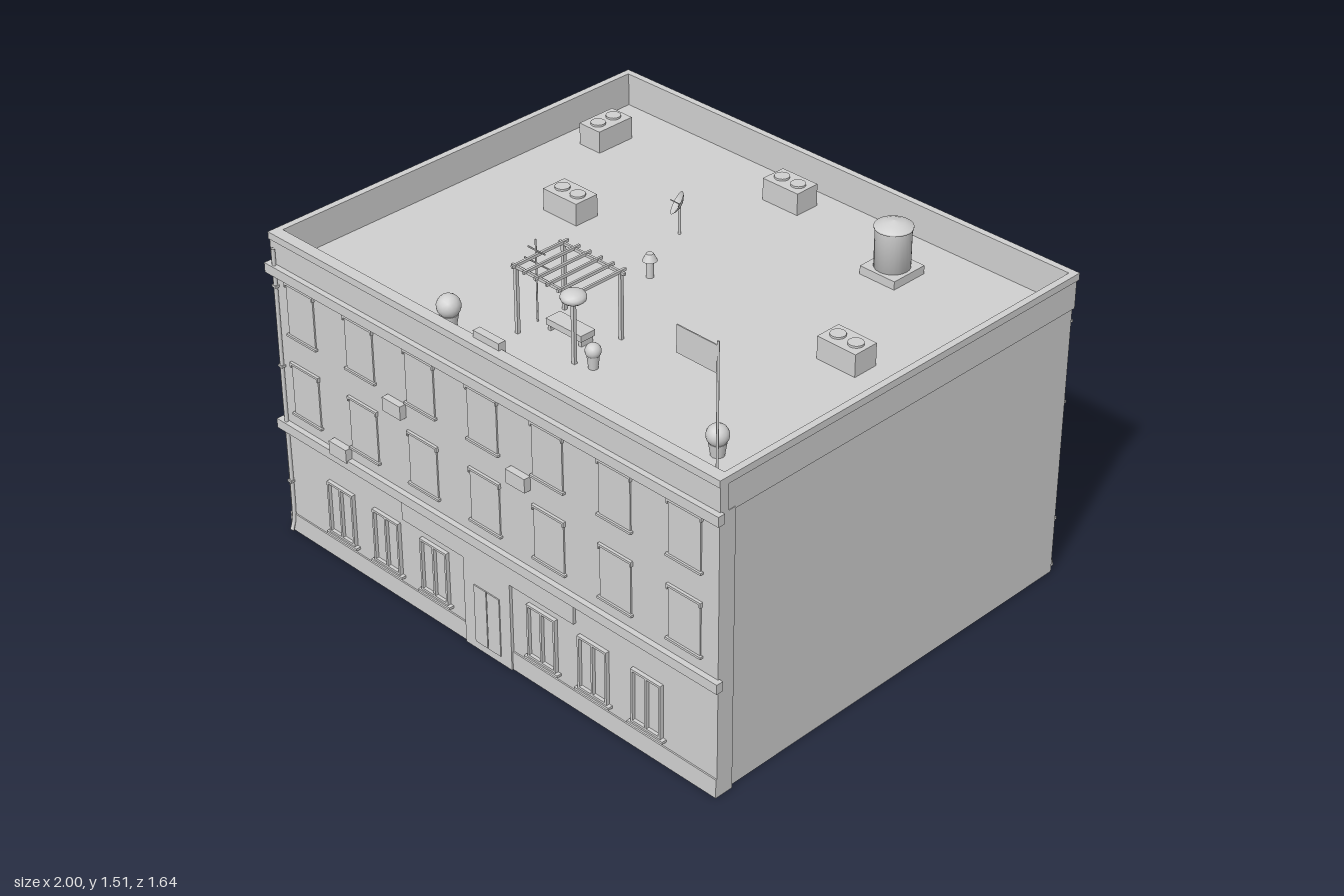
import * as THREE from 'three';

export function createModel() {
  const model = new THREE.Group();
  model.name = 'building';
  const grey = new THREE.MeshStandardMaterial({ color: 0xd0d0d0, side: THREE.DoubleSide });
  grey.name = 'lightGrey';

  const add = (name, geometry, x, y, z, parent = model) => {
    const m = new THREE.Mesh(geometry, grey);
    m.name = name;
    m.position.set(x, y, z);
    parent.add(m);
    return m;
  };
  // Box given by its min and max on each axis
  const box = (name, x0, x1, y0, y1, z0, z1, parent) =>
    add(name, new THREE.BoxGeometry(x1 - x0, y1 - y0, z1 - z0),
      (x0 + x1) / 2, (y0 + y1) / 2, (z0 + z1) / 2, parent);
  // Upright cylinder from y0 to y1
  const post = (name, x, z, y0, y1, r0, r1 = r0, sides = 12, parent = model) =>
    add(name, new THREE.CylinderGeometry(r1, r0, y1 - y0, sides), x, (y0 + y1) / 2, z, parent);

  const ROOF = 1.02, FRONT = 0.8, BACK = -0.79;

  // Main block, with the roof deck as its top, and the wider front wall
  box('body', -0.975, 0.975, 0, ROOF, BACK, 0.74);
  box('frontWall', -0.986, 0.986, 0, ROOF, 0.735, FRONT);

  // Parapet walls and coping
  box('parapetFront', -0.988, 0.988, 1.012, 1.116, 0.766, FRONT);
  box('parapetBack', -0.984, 0.984, 1.012, 1.116, BACK, -0.772);
  box('copingFront', -0.99, 0.99, 1.115, 1.14, 0.762, 0.804);
  box('copingBack', -0.99, 0.99, 1.115, 1.14, -0.794, -0.77);
  for (const s of [-1, 1]) {
    box('parapetSide', s * 0.975 - 0.009, s * 0.975 + 0.009, 1.012, 1.116, -0.772, 0.766);
    box('copingSide', s * 0.978 - 0.012, s * 0.978 + 0.012, 1.115, 1.14, -0.77, 0.762);
  }

  // Front cornices
  box('upperCornice', -1, 1, 0.995, 1.03, 0.794, 0.82);
  box('lowerCornice', -1, 1, 0.405, 0.44, 0.794, 0.82);

  // Upper floor windows, front and back
  for (const [s, wall] of [[1, FRONT], [-1, BACK]]) {
    for (const y of [0.49, 0.79]) {
      for (let i = -3; i <= 3; i++) {
        const g = new THREE.Group();
        g.name = 'upperWindow';
        g.position.set(i * 0.284, y, wall);
        g.rotation.y = s > 0 ? 0 : Math.PI;
        model.add(g);
        box('pane', -0.065, 0.065, 0, 0.193, -0.002, 0.005, g);
        box('lintel', -0.07, 0.07, 0.188, 0.196, -0.002, 0.01, g);
        for (const dx of [-0.067, 0.067]) box('lintelEnd', dx - 0.003, dx + 0.003, 0.178, 0.19, -0.002, 0.01, g);
        box('sill', -0.072, 0.072, -0.004, 0.004, -0.002, 0.012, g);
      }
    }
  }

  // Ground floor windows with frame, mullion and sill
  for (const x of [-0.705, -0.48, -0.25, 0.245, 0.47, 0.7]) {
    const g = new THREE.Group();
    g.name = 'groundWindow';
    g.position.set(x, 0, FRONT);
    model.add(g);
    box('pane', -0.06, 0.06, 0.1, 0.3, -0.002, 0.002, g);
    for (const dx of [-0.059, 0, 0.059]) box('frameUpright', dx - 0.004, dx + 0.004, 0.1, 0.3, 0, 0.014, g);
    for (const y of [0.104, 0.296]) box('frameRail', -0.063, 0.063, y - 0.004, y + 0.004, 0, 0.014, g);
    box('sill', -0.075, 0.075, 0.09, 0.099, 0, 0.018, g);
  }

  // Plinth and entrance: fascia board, portal and double door
  box('plinth', -0.986, 0.986, 0, 0.07, FRONT - 0.01, FRONT + 0.005);
  box('fascia', -0.395, 0.39, 0.33, 0.406, FRONT - 0.01, FRONT + 0.011);
  box('portal', -0.108, 0.105, 0, 0.33, FRONT - 0.01, FRONT + 0.011);
  for (const s of [-1, 1]) box('doorLeaf', s * 0.03 - 0.028, s * 0.03 + 0.028, 0.03, 0.25, FRONT, FRONT + 0.015);

  // Wall mounted cooling units
  const wallUnit = (x, y, front) => {
    const z = front ? FRONT + 0.01 : BACK - 0.012;
    box('wallUnit', x - 0.042, x + 0.042, y - 0.025, y + 0.025, z - 0.017, z + 0.015);
  };
  wallUnit(-0.402, 0.752, true);
  wallUnit(0.162, 0.752, true);
  wallUnit(-0.685, 0.457, true);
  wallUnit(0.395, 0.775, false);
  wallUnit(0.108, 0.875, false);
  wallUnit(-0.738, 0.58, false);

  // Drainpipes with turned-out feet
  for (const [x, s, wall] of [[-0.965, 1, FRONT], [0.96, -1, BACK]]) {
    const z = wall + s * 0.008;
    const path = new THREE.CatmullRomCurve3([[1.09, 0], [0.6, 0], [0.04, 0], [0.02, 0.004], [0.01, 0.012]]
      .map(([y, o]) => new THREE.Vector3(x, y, z + s * o)));
    add('drainpipe', new THREE.TubeGeometry(path, 24, 0.007, 8), 0, 0, 0);
    for (const y of [0.2, 0.65, 0.95]) box('pipeBracket', x - 0.01, x + 0.01, y, y + 0.008, z - 0.008, z + 0.008);
  }

  // Rooftop cooling units with two fans each
  for (const [x, z, turned] of [[-0.83, -0.528, 1], [-0.093, -0.652, 0], [-0.555, -0.098, 0], [0.698, -0.048, 0]]) {
    const g = new THREE.Group();
    g.name = 'roofUnit';
    g.position.set(x, ROOF, z);
    g.rotation.y = turned * Math.PI / 2;
    model.add(g);
    box('casing', -0.077, 0.077, 0, 0.08, -0.048, 0.048, g);
    for (const s of [-1, 1]) post('fan', s * 0.036, 0, 0.08, 0.087, 0.026, 0.026, 16, g);
  }

  // Water tank on a plinth
  box('tankPlinth', 0.378, 0.522, ROOF, 1.05, -0.612, -0.468);
  const tankProfile = [[0, 1.05], [0.06, 1.05], [0.06, 1.188], [0.064, 1.189], [0.064, 1.195], [0.035, 1.208], [0, 1.215]];
  add('waterTank', new THREE.LatheGeometry(tankProfile.map(p => new THREE.Vector2(...p)), 24), 0.45, 0, -0.54);

  // Satellite dish
  post('dishPost', -0.205, -0.25, ROOF, 1.125, 0.005);
  const dish = new THREE.Group();
  dish.name = 'satelliteDish';
  dish.position.set(-0.203, 1.125, -0.255);
  dish.rotation.set(Math.PI / 3, -Math.PI / 4, 0, 'YXZ');
  model.add(dish);
  add('dishBowl', new THREE.LatheGeometry([[0, 0], [0.02, 0.003], [0.033, 0.009], [0.042, 0.016]]
    .map(p => new THREE.Vector2(...p)), 20), 0, 0, 0, dish);
  post('dishFeed', 0, 0, 0, 0.04, 0.002, 0.002, 6, dish);

  // Roof vent with cap
  post('ventPipe', -0.08, 0.01, ROOF, 1.08, 0.013);
  post('ventCap', -0.08, 0.01, 1.08, 1.105, 0.025, 0.012, 16);

  // Potted shrubs
  for (const [x, z, r] of [[-0.308, 0.652, 0.04], [0.77, 0.585, 0.036], [0.18, 0.51, 0.026]]) {
    post('pot', x, z, ROOF, ROOF + 0.045, r * 0.6, r * 0.8);
    add('shrub', new THREE.IcosahedronGeometry(r, 2), x, ROOF + 0.04 + r * 0.8, z);
  }

  // Pergola with slats, bench and rounded climber on one corner
  for (const z of [0.335, 0.533]) {
    for (const x of [-0.128, 0.122]) box('pergolaPost', x - 0.006, x + 0.006, ROOF, 1.255, z - 0.006, z + 0.006);
    box('pergolaBeam', -0.145, 0.14, 1.25, 1.26, z - 0.004, z + 0.004);
  }
  for (let i = 0; i < 6; i++) {
    const x = -0.128 + i * 0.05;
    box('pergolaSlat', x - 0.004, x + 0.004, 1.254, 1.264, 0.315, 0.55);
  }
  add('climber', new THREE.IcosahedronGeometry(0.042, 2), 0.124, 1.255, 0.534).scale.y = 0.55;
  box('bench', -0.08, 0.075, ROOF + 0.02, ROOF + 0.042, 0.4, 0.46);
  for (const x of [-0.07, 0.065]) box('benchLeg', x - 0.006, x + 0.006, ROOF, ROOF + 0.02, 0.405, 0.455);

  // Aerial with three crossbars
  post('aerialMast', -0.135, 0.443, ROOF, 1.31, 0.003, 0.003, 8);
  for (const [y, h] of [[1.18, 0.075], [1.225, 0.055], [1.27, 0.038]])
    box('aerialBar', -0.135 - h, -0.135 + h, y - 0.002, y + 0.002, 0.439, 0.443);

  // Small cabinet on the front parapet
  box('parapetBox', -0.06, 0.053, 1.115, 1.164, 0.746, 0.774);

  // Flagpole and flag
  post('flagpole', 0.888, 0.71, ROOF, 1.51, 0.004, 0.004, 8);
  box('flag', 0.728, 0.888, 1.404, 1.496, 0.708, 0.712);

  return model;
}
